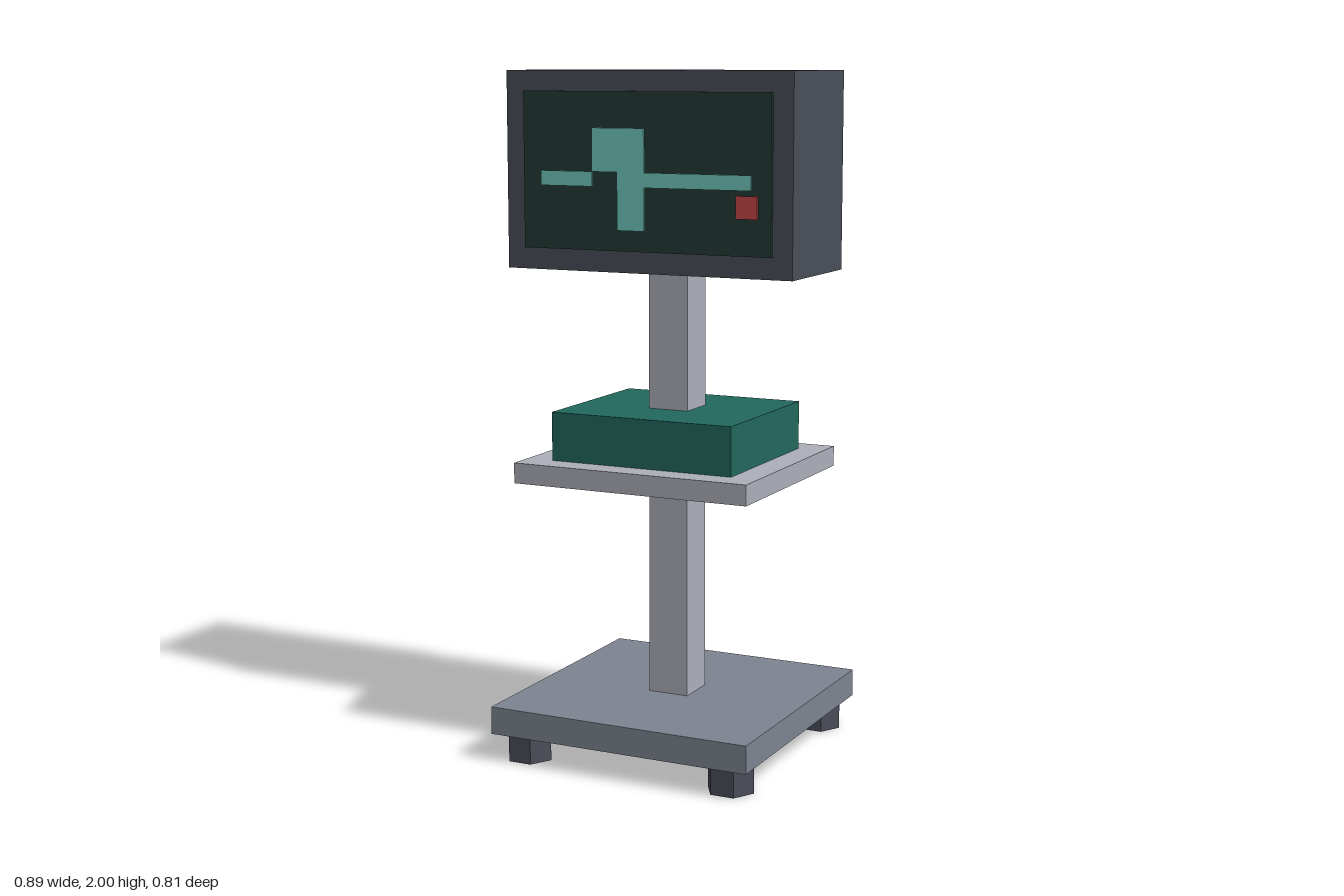
import * as THREE from 'three';

const mat = (name, color) => {
  const m = new THREE.MeshStandardMaterial({ color });
  m.name = name;
  return m;
};

export function createModel() {
  const group = new THREE.Group();
  const dark = mat('charcoal', 0x4a4e59);
  const slate = mat('slate grey', 0x7e8591);
  const light = mat('light grey', 0xadb0ba);
  const green = mat('deep green', 0x21695d);
  const glass = mat('screen green', 0x233b35);
  const mint = mat('mint', 0x71cbc0);
  const red = mat('red', 0xc84646);

  // Box given by its extents on each axis
  const box = (name, material, [x0, x1], [y0, y1], [z0, z1], parent = group) => {
    const mesh = new THREE.Mesh(new THREE.BoxGeometry(x1 - x0, y1 - y0, z1 - z0), material);
    mesh.position.set((x0 + x1) / 2, (y0 + y1) / 2, (z0 + z1) / 2);
    mesh.name = name;
    parent.add(mesh);
    return mesh;
  };
  const sym = (h) => [-h, h];

  // Rolling base with six-sided casters, one corner pointing along x
  box('base', slate, sym(0.407), [0.083, 0.165], sym(0.407));
  const casterGeometry = new THREE.CylinderGeometry(0.071, 0.071, 0.083, 6).toNonIndexed();
  casterGeometry.rotateY(Math.PI / 2);
  casterGeometry.computeVertexNormals();
  for (const x of [-1, 1]) {
    for (const z of [-1, 1]) {
      const caster = new THREE.Mesh(casterGeometry, dark);
      caster.position.set(x * 0.325, 0.0415, z * 0.325);
      caster.name = 'caster';
      group.add(caster);
    }
  }

  // Column, shelf and equipment case
  box('column', light, sym(0.062), [0.165, 1.432], sym(0.062));
  box('shelf', light, sym(0.367), [0.82, 0.88], sym(0.325));
  box('equipmentCase', green, sym(0.285), [0.88, 1.023], sym(0.245));

  // Monitor housing and screen
  const monitor = new THREE.Group();
  monitor.name = 'monitor';
  group.add(monitor);
  box('housing', dark, sym(0.447), [1.432, 2], [-0.163, 0.202], monitor);
  box('screen', glass, sym(0.387), [1.494, 1.942], [0.202, 0.212], monitor);

  // Pulse trace and indicator on the screen
  const plate = [0.212, 0.218];
  box('traceLeft', mint, [-0.328, -0.164], [1.675, 1.717], plate, monitor);
  box('tracePeak', mint, [-0.164, 0], [1.717, 1.84], plate, monitor);
  box('traceDip', mint, [-0.084, 0], [1.553, 1.717], plate, monitor);
  box('traceRight', mint, [0, 0.328], [1.675, 1.717], plate, monitor);
  box('indicator', red, [0.283, 0.347], [1.597, 1.66], plate, monitor);

  return group;
}
